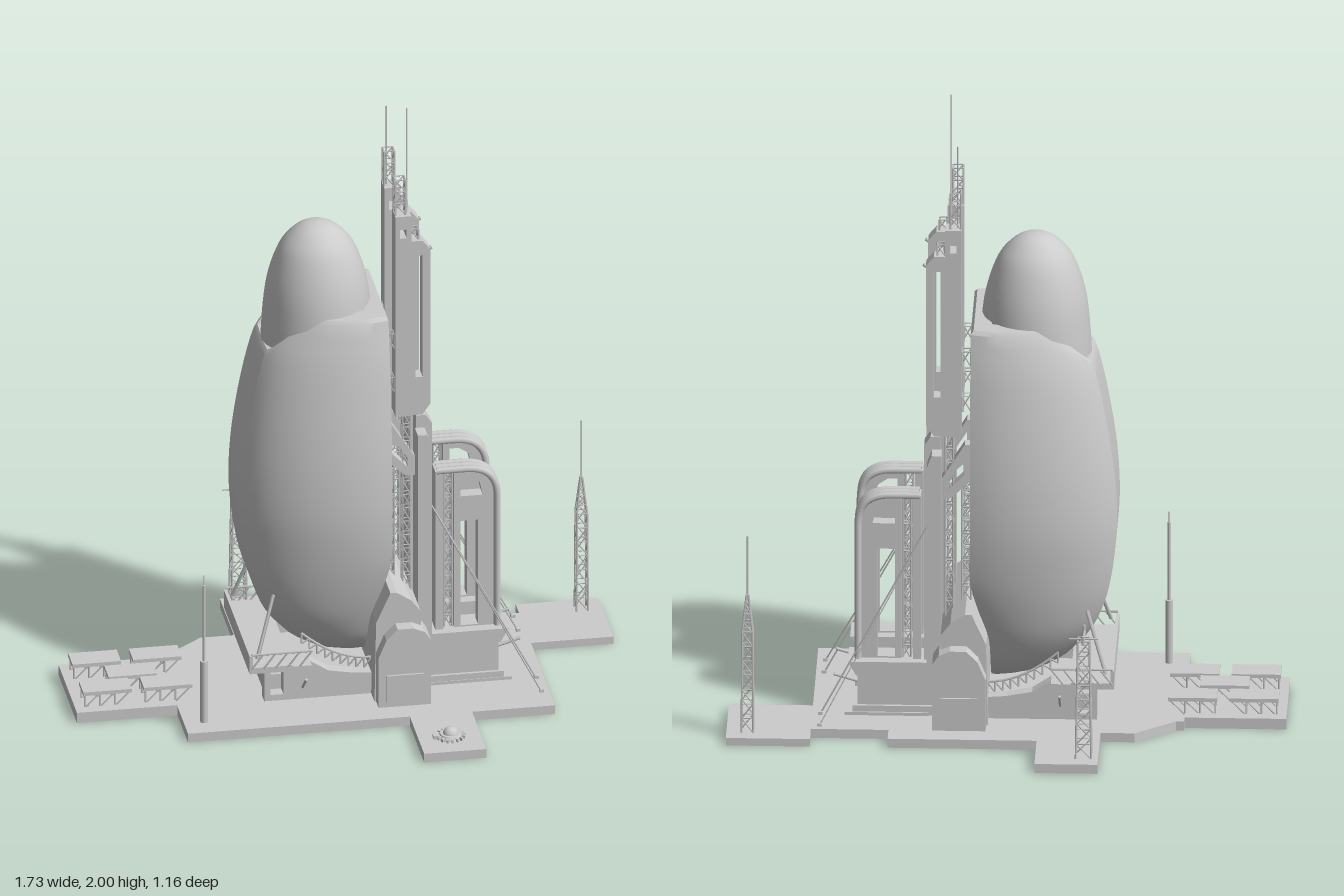
import * as THREE from 'three';
import { toCreasedNormals } from 'three/addons/utils/BufferGeometryUtils.js';

const ZC = -0.045; // symmetry plane of ship and launch towers

export function createModel() {
  const model = new THREE.Group();
  const mat = new THREE.MeshStandardMaterial({ color: 0xcccccc, side: THREE.DoubleSide });
  const V = (x, y, z) => new THREE.Vector3(x, y, z);

  const add = (name, geo, parent = model) => {
    const m = new THREE.Mesh(geo, mat);
    m.name = name;
    parent.add(m);
    return m;
  };
  const group = (name) => {
    const g = new THREE.Group();
    g.name = name;
    model.add(g);
    return g;
  };
  const box = (name, x0, x1, y0, y1, z0, z1, p) =>
    add(name, new THREE.BoxGeometry(x1 - x0, y1 - y0, z1 - z0)
      .translate((x0 + x1) / 2, (y0 + y1) / 2, (z0 + z1) / 2), p);
  const beam = (name, a, b, r, p, sides = 4) => {
    const d = b.clone().sub(a);
    const m = add(name, new THREE.CylinderGeometry(r, r, d.length(), sides), p);
    m.position.copy(a).addScaledVector(d, 0.5);
    m.quaternion.setFromUnitVectors(V(0, 1, 0), d.normalize());
    return m;
  };
  const path = (pts, C = THREE.Shape) => new C(pts.map(([x, y]) => new THREE.Vector2(x, y)));
  const plate = (name, pts, holes, z0, z1, p) => {
    const s = path(pts);
    holes.forEach((h) => s.holes.push(path(h, THREE.Path)));
    const g = new THREE.ExtrudeGeometry(s, { depth: z1 - z0, bevelEnabled: false });
    return add(name, g.translate(0, 0, z0), p);
  };
  const rect = (x0, x1, y0, y1) => [[x0, y0], [x1, y0], [x1, y1], [x0, y1]];
  // square lattice mast, half width tapering from h0 to h1
  const lattice = (name, x, z, h0, h1, y0, y1, n, r = 0.003, p = model) => {
    const g = new THREE.Group();
    g.name = name;
    p.add(g);
    const at = (k, i) => {
      const t = i / n, h = h0 + (h1 - h0) * t;
      return V(x + [h, -h, -h, h][k % 4], y0 + (y1 - y0) * t, z + [h, h, -h, -h][k % 4]);
    };
    for (let k = 0; k < 4; k++) {
      beam('mastLeg', at(k, 0), at(k, n), r, g);
      for (let i = 0; i < n; i++) {
        beam('mastBrace', at(k + (i % 2), i), at(k + 1 - (i % 2), i + 1), r * 0.7, g);
        beam('mastRung', at(k, i + 1), at(k + 1, i + 1), r * 0.7, g);
      }
    }
  };

  // Ground slab with outlying pads (points are x, z)
  const outline = [[-0.55, -0.23], [-0.525, -0.23], [-0.40, -0.33], [-0.295, -0.33], [-0.295, -0.585],
    [-0.10, -0.585], [-0.10, -0.40], [0.36, -0.40], [0.36, -0.33], [0.60, -0.33], [0.60, 0.315],
    [0.34, 0.315], [0.34, 0.575], [0.145, 0.575], [0.145, 0.315], [-0.55, 0.315]];
  add('groundSlab', new THREE.ExtrudeGeometry(path(outline.map(([x, z]) => [x, -z])),
    { depth: 0.03, bevelEnabled: false }).rotateX(-Math.PI / 2));
  box('panelPad', -0.865, -0.55, 0, 0.035, -0.21, 0.125);
  box('mastPad', 0.60, 0.86, 0, 0.025, -0.40, -0.13);
  box('towerApron', 0.24, 0.50, 0.03, 0.04, -0.215, 0.115);

  // Ship hull, lofted: [y, left x, right x, half width, half width of flat belly]
  const rows = [[0.12, 0, 0.05, 0.04, 0.02], [0.145, -0.09, 0.05, 0.09, 0.05], [0.2, -0.175, 0.05, 0.14, 0.075],
    [0.3, -0.26, 0.055, 0.19, 0.095], [0.4, -0.303, 0.085, 0.222, 0.108], [0.5, -0.325, 0.11, 0.245, 0.115],
    [0.65, -0.34, 0.11, 0.264, 0.12], [0.8, -0.335, 0.11, 0.265, 0.12], [0.95, -0.316, 0.11, 0.254, 0.115],
    [1.1, -0.288, 0.11, 0.235, 0.105], [1.2, -0.26, 0.11, 0.218, 0.095], [1.31, -0.205, 0.11, 0.19, 0.08]];
  const curves = [1, 2, 3, 4].map((c) => new THREE.CatmullRomCurve3(rows.map((r) => V(r[0], r[c], 0))));
  const sample = (c, y) => {
    let i = 0;
    while (i < rows.length - 2 && rows[i + 1][0] < y) i++;
    const f = (y - rows[i][0]) / (rows[i + 1][0] - rows[i][0]);
    return curves[c].getPoint((i + Math.min(1, Math.max(0, f))) / (rows.length - 1)).y;
  };
  const N = 14, A0 = 0.35;
  const halfPoint = (j, y) => { // j = 0 mid belly ... N+2 mid of the flat tower-side face
    const [xl, xr, zh, zf] = [0, 1, 2, 3].map((c) => sample(c, y));
    if (j === 0) return [xl, 0];
    if (j === N + 2) return [xr, 0];
    const a = A0 + (2.0 - A0) * (j - 1) / N;
    const xm = xl + (xr - xl) * 0.7;
    const s = (Math.sin(a) - Math.sin(A0)) / (1 - Math.sin(A0));
    const x = a < Math.PI / 2 ? xm + (xl - xm) * Math.cos(a) / Math.cos(A0)
      : xm + (xr - xm) * Math.cos(a) / Math.cos(2.0);
    return [x, zf + (zh - zf) * s];
  };
  const cols = [];
  for (let j = 0; j <= N + 2; j++) cols.push([j, 1]);
  for (let j = N + 1; j >= 1; j--) cols.push([j, -1]);
  const hullPos = [], hullIdx = [], M = 36, W = cols.length;
  for (let i = 0; i <= M + 2; i++) {
    for (const [j, s] of cols) {
      const dip = Math.max(0, 1 - j / 7); // rim sinks towards the belly
      const rim = 1.31 - 0.13 * dip * dip * (3 - 2 * dip);
      const y = 0.12 + (rim - 0.12) * Math.pow(Math.min(1, i / M), 1.25);
      let [x, z] = halfPoint(j, y);
      const k = i <= M ? 1 : i === M + 1 ? 0.95 : 0.65; // shoulder closing in on the nose
      x = -0.07 + (x + 0.07) * k;
      hullPos.push(x, y + (i > M ? 0.012 : 0), ZC + z * s * k);
    }
  }
  for (let i = 0; i < M + 2; i++) for (let j = 0; j < W; j++) {
    const a = i * W + j, b = i * W + (j + 1) % W;
    hullIdx.push(a, b, a + W, b, b + W, a + W);
  }
  for (let j = 1; j < W - 1; j++) hullIdx.push(0, j + 1, j);
  const hull = new THREE.BufferGeometry();
  hull.setAttribute('position', new THREE.Float32BufferAttribute(hullPos, 3));
  hull.setIndex(hullIdx);
  hull.computeVertexNormals();
  add('shipHull', toCreasedNormals(hull, 0.45));

  // Nose cone rising from the hull
  const nose = new THREE.SplineCurve([[0.174, 1.0], [0.175, 1.15], [0.166, 1.31], [0.15, 1.41], [0.118, 1.5],
    [0.08, 1.55], [0.04, 1.577], [0, 1.585]].map(([x, y]) => new THREE.Vector2(x, y)));
  add('noseCone', new THREE.LatheGeometry(nose.getPoints(28), 40).translate(-0.085, 0, ZC));

  // Cradle under the hull
  const cradle = group('cradle');
  const saddle = [[-0.28, 0.03], [0.07, 0.03], [0.07, 0.10], [0, 0.105], [-0.08, 0.12], [-0.14, 0.16], [-0.28, 0.16]];
  const hatch = rect(-0.26, -0.22, 0.05, 0.13);
  for (const s of [-1, 1]) {
    const z = ZC + s * 0.16;
    plate('saddleWall', saddle, [hatch], z - 0.02, z + 0.02, cradle);
    for (let i = 0; i < 9; i++) { // curved truss following the keel
      const f = (t) => V(-0.16 + 0.22 * t, 0.11 + 0.10 * (1 - t) ** 2, z);
      const a = f(i / 9), b = f((i + 1) / 9), up = V(0, 0.035, 0);
      beam('keelRail', a.clone().add(up), b.clone().add(up), 0.004, cradle);
      beam('keelBrace', a, b.clone().add(up), 0.003, cradle);
      beam('keelPost', a, a.clone().add(up), 0.003, cradle);
    }
    beam('hullStrut', V(-0.31, 0.2, ZC + s * 0.225), V(-0.25, 0.39, ZC + s * 0.17), 0.006, cradle);
    beam('sideProbe', V(-0.17, 0.1, ZC + s * 0.24), V(-0.17, 0.16, ZC + s * 0.31), 0.005, cradle);
    box('deckSide', -0.33, -0.14, 0.155, 0.17, z - 0.075, z + 0.075, cradle);
  }
  box('saddleCore', -0.27, 0.06, 0.03, 0.1, ZC - 0.14, ZC + 0.14, cradle);
  box('deck', -0.33, -0.2, 0.155, 0.175, ZC - 0.235, ZC + 0.235, cradle);
  box('deckLip', -0.335, -0.325, 0.155, 0.215, ZC - 0.235, ZC + 0.235, cradle);
  for (const s of [-1, 1]) {
    beam('deckRail', V(-0.33, 0.22, ZC + s * 0.235), V(-0.14, 0.22, ZC + s * 0.235), 0.004, cradle);
    for (let i = 0; i < 5; i++) {
      const x = -0.33 + i * 0.038;
      beam('deckRailBrace', V(x, 0.17, ZC + s * 0.235), V(x + 0.038, 0.22, ZC + s * 0.235), 0.003, cradle);
    }
  }

  // Tower foundation: stepped side blocks, centre block and apron plinths
  const base = group('towerFoundation');
  const sideBlock = [[0.06, 0.03], [0.225, 0.03], [0.225, 0.25], [0.205, 0.28], [0.17, 0.295], [0.12, 0.295], [0.085, 0.26], [0.06, 0.2]];
  const backBlock = [[0.055, 0.03], [0.2, 0.03], [0.2, 0.33], [0.17, 0.37], [0.125, 0.4], [0.105, 0.4], [0.06, 0.3]];
  for (const s of [-1, 1]) {
    const zs = [ZC + s * 0.13, ZC + s * 0.285].sort((a, b) => a - b);
    plate('sideBlock', sideBlock, [], zs[0], zs[1], base);
    box('sideDoor', 0.085, 0.2, 0.05, 0.14, ZC + s * 0.28 - 0.012, ZC + s * 0.28 + 0.012, base);
  }
  plate('backBlock', backBlock, [], ZC - 0.24, ZC + 0.24, base);
  box('centreBlock', 0.2, 0.44, 0.03, 0.14, ZC - 0.05, ZC + 0.05, base);
  box('centrePanel', 0.195, 0.215, 0.2, 0.95, ZC - 0.07, ZC + 0.07, base);

  // Twin launch towers
  const TOWERS = [0.053, -0.149];
  TOWERS.forEach((z, n) => {
    const t = group('launchTower');
    const out = n ? -1 : 1;
    box('plinth', 0.22, 0.46, 0.03, 0.17, z - 0.05, z + 0.05, t);
    box('plinthFoot', 0.22, 0.475, 0.03, 0.06, z - 0.06, z + 0.06, t);
    plate('plinthCap', [[0.22, 0.16], [0.465, 0.16], [0.49, 0.205], [0.22, 0.205]], [], z - 0.058, z + 0.058, t);
    // middle stage
    plate('middleColumn', [[0.205, 0.2], [0.255, 0.2], [0.255, 0.92], [0.235, 0.95], [0.205, 0.95]], [], z - 0.03, z + 0.03, t);
    lattice('ladderTruss', 0.178, z, 0.012, 0.012, 0.3, 0.95, 14, 0.003, t);
    lattice('hullTruss', 0.125, z, 0.014, 0.014, 0.4, 0.8, 9, 0.003, t);
    plate('hullBracket', [[0.11, 0.8], [0.175, 0.74], [0.205, 0.74], [0.205, 0.8], [0.13, 0.92], [0.11, 0.92]],
      [[[0.13, 0.82], [0.18, 0.77], [0.18, 0.8], [0.13, 0.88]]], z - 0.02, z + 0.02, t);
    const zo = z + out * 0.062;
    plate('outerButtress', [[0.2, 0.2], [0.245, 0.2], [0.245, 0.87], [0.23, 0.91], [0.2, 0.91]], [], zo - 0.027, zo + 0.027, t);
    // upper stage
    plate('upperColumn', rect(0.14, 0.19, 0.95, 1.64), [rect(0.155, 0.175, 1.565, 1.595)], z - 0.03, z + 0.03, t);
    plate('upperPod', [[0.185, 0.95], [0.225, 0.95], [0.25, 0.985], [0.25, 1.52], [0.225, 1.55], [0.185, 1.55]],
      [rect(0.204, 0.226, 1.08, 1.5)], z - 0.025, z + 0.025, t);
    for (const y of [1.03, 1.18]) lattice('hullLink', 0.125, z, 0.014, 0.014, y, y + 0.05, 1, 0.003, t);
    lattice('tipTruss', 0.158, z, 0.016, 0.016, 1.64, 1.76, 3, 0.003, t);
    lattice('podTruss', 0.203, z, 0.012, 0.012, 1.55, 1.585, 1, 0.003, t);
    const ax = n ? 0.152 : 0.18;
    beam('aerial', V(ax, 1.64, z), V(ax, n ? 1.91 : 2.0, z), 0.0025, t, 6);
    beam('sideAerial', V(0.235, 1.5, z), V(0.258, 1.515, z), 0.006, t, 6);
    // arched outer stage with windows and curved pipes
    const arch = new THREE.Shape();
    arch.moveTo(0.325, 0.2).lineTo(0.455, 0.2).lineTo(0.455, 0.65).quadraticCurveTo(0.455, 0.745, 0.36, 0.745).lineTo(0.325, 0.745);
    arch.holes.push(path(rect(0.345, 0.4, 0.21, 0.57), THREE.Path));
    arch.holes.push(path([[0.345, 0.655], [0.415, 0.655], [0.405, 0.7], [0.375, 0.72], [0.345, 0.72]], THREE.Path));
    add('archFrame', new THREE.ExtrudeGeometry(arch, { depth: 0.044, bevelEnabled: false, curveSegments: 10 })
      .translate(0, 0, z - 0.022), t);
    const bend = new THREE.CurvePath();
    bend.add(new THREE.LineCurve3(V(0.27, 0.75, 0), V(0.36, 0.75, 0)));
    bend.add(new THREE.QuadraticBezierCurve3(V(0.36, 0.75, 0), V(0.46, 0.75, 0), V(0.46, 0.65, 0)));
    bend.add(new THREE.LineCurve3(V(0.46, 0.65, 0), V(0.46, 0.2, 0)));
    for (const dz of [-0.024, 0, 0.024])
      add('archPipe', new THREE.TubeGeometry(bend, 50, 0.011, 8).translate(0, 0, z + dz), t);
    box('archColumn', 0.265, 0.29, 0.2, 0.75, z - 0.03, z + 0.03, t);
    lattice('archTruss', 0.308, z, 0.012, 0.012, 0.2, 0.74, 12, 0.003, t);
    beam('frontProbe', V(0.45, 0.115, z), V(0.535, 0.14, z), 0.005, t, 6);
  });
  // guy wires and anchors
  for (const s of [-1, 1]) for (const w of [0.165, 0.26]) {
    beam('guyWire', V(0.2, 0.74, ZC + s * 0.14), V(0.575, 0.03, ZC + s * w), 0.0025);
    box('guyAnchor', 0.568, 0.582, 0.03, 0.04, ZC + s * w - 0.007, ZC + s * w + 0.007);
  }

  // Raised panels on truss legs
  const panels = [[-0.84, -0.18], [-0.65, -0.18], [-0.745, -0.077], [-0.84, 0.015], [-0.65, 0.015]];
  for (const [x, z] of panels) {
    box('raisedPanel', x, x + 0.152, 0.076, 0.088, z, z + 0.08);
    for (const dz of [0.008, 0.072]) for (let i = 0; i < 3; i++) {
      const a = x + 0.006 + i * 0.047, y = 0.03;
      beam('panelLeg', V(a, y, z + dz), V(a, 0.078, z + dz), 0.003);
      beam('panelBrace', V(a, y, z + dz), V(a + 0.047, 0.078, z + dz), 0.0025);
    }
  }

  // Stepped pole mast
  [[0.03, 0.24, 0.012], [0.24, 0.5, 0.005], [0.5, 0.535, 0.002]].forEach(([a, b, r]) =>
    beam('poleMast', V(-0.487, a, 0.24), V(-0.487, b, 0.24), r, model, 10));

  // Lattice radio mast
  lattice('radioMast', 0.795, -0.337, 0.018, 0.016, 0.025, 0.36, 7);
  lattice('radioMastTop', 0.795, -0.337, 0.016, 0.003, 0.36, 0.48, 4);
  beam('radioAerial', V(0.795, 0.46, -0.337), V(0.795, 0.675, -0.337), 0.0025);

  // Lattice watch mast with cross arms
  lattice('watchMast', -0.25, -0.515, 0.024, 0.018, 0.03, 0.42, 8);
  beam('watchArm', V(-0.25, 0.425, -0.46), V(-0.25, 0.425, -0.555), 0.004);
  beam('watchCrossArm', V(-0.295, 0.43, -0.535), V(-0.205, 0.43, -0.535), 0.003);
  for (const z of [-0.46, -0.55]) beam('watchSensor', V(-0.25, 0.415, z), V(-0.25, 0.445, z), 0.005);

  // Toothed beacon dome on its pad
  const beacon = group('beacon');
  beacon.position.set(0.245, 0.03, 0.473);
  add('beaconDisc', new THREE.CylinderGeometry(0.032, 0.04, 0.014, 24).translate(0, 0.007, 0), beacon);
  add('beaconDome', new THREE.SphereGeometry(0.024, 20, 8, 0, Math.PI * 2, 0, Math.PI / 2).translate(0, 0.01, 0), beacon);
  for (let i = 0; i < 16; i++)
    add('beaconTooth', new THREE.BoxGeometry(0.012, 0.01, 0.007).translate(0.04, 0.005, 0).rotateY(i * Math.PI / 8), beacon);
  box('beaconBox', -0.055, -0.035, 0, 0.012, -0.012, 0.012, beacon);
  return model;
}
